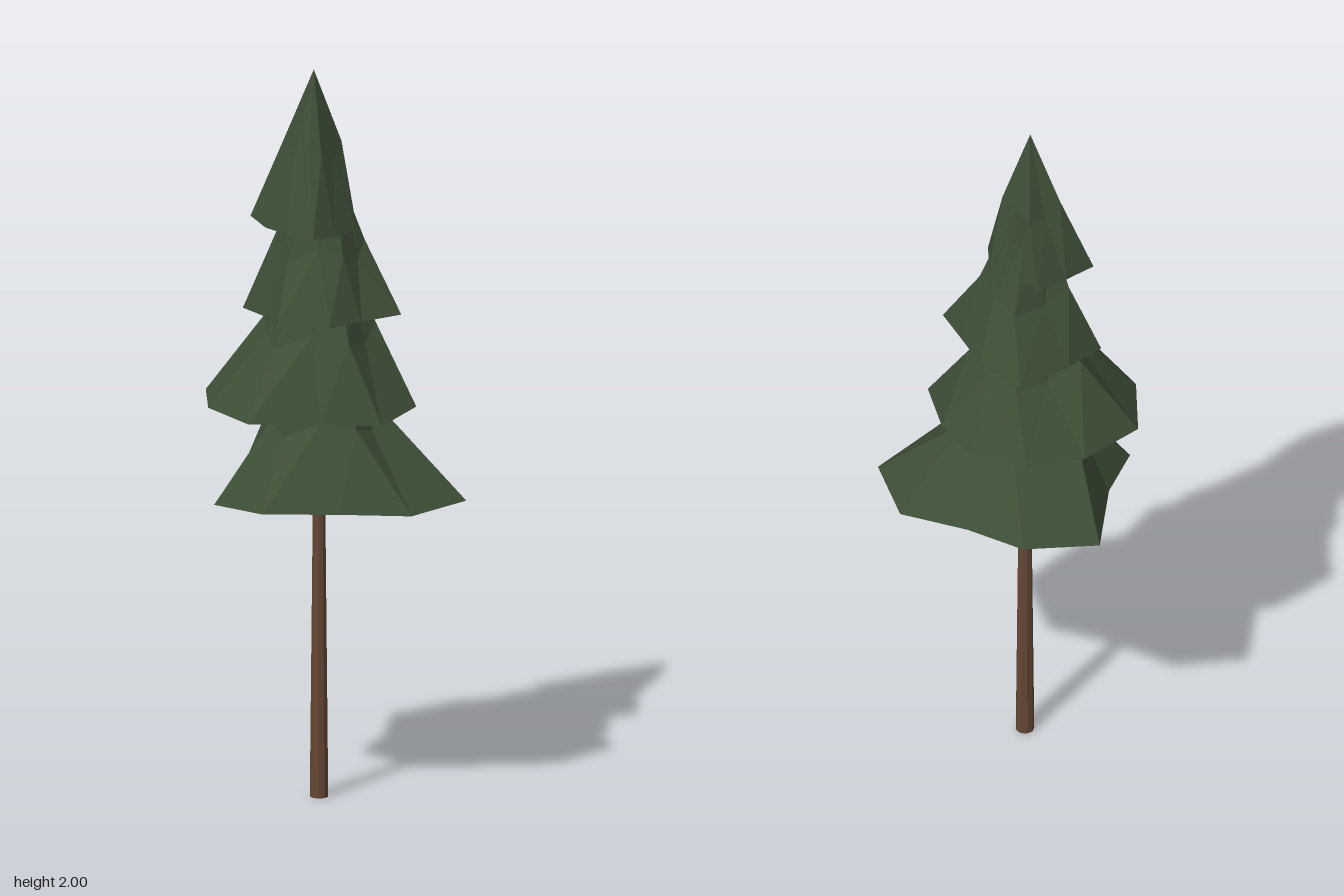
import * as THREE from 'three';

const needles = new THREE.MeshStandardMaterial({ color: 0x3d4e36, flatShading: true });
needles.name = 'needle green';
const bark = new THREE.MeshStandardMaterial({ color: 0x644735, flatShading: true });
bark.name = 'bark brown';

const AXIS_X = -0.043, AXIS_Z = 0.013;

// Each tier: ragged rim as [x, y, z] points, shoulder height and radius,
// top height and radius, and the height of the hollow underside
const tiers = [
  {
    name: 'bottomBranches', midY: 1.04, midR: 0.147, topY: 1.2, topR: 0.09, underY: 0.945,
    rim: [[-0.065, 0.855, -0.31], [0.09, 0.845, -0.225], [0.275, 0.835, -0.16], [0.352, 0.83, 0.045],
      [0.22, 0.83, 0.22], [0.03, 0.843, 0.268], [-0.17, 0.85, 0.308], [-0.312, 0.832, 0.15],
      [-0.27, 0.84, -0.02], [-0.265, 0.835, -0.25]],
  },
  {
    name: 'lowerBranches', midY: 1.28, midR: 0.148, topY: 1.43, topR: 0.085, underY: 1.18,
    rim: [[-0.07, 1.098, -0.262], [0.08, 1.08, -0.21], [0.17, 1.085, -0.09], [0.22, 1.09, 0.06],
      [0.14, 1.072, 0.205], [-0.02, 1.085, 0.25], [-0.21, 1.09, 0.282], [-0.33, 1.092, 0.125],
      [-0.352, 1.092, -0.068], [-0.22, 1.085, -0.2]],
  },
  {
    name: 'upperBranches', midY: 1.51, midR: 0.117, topY: 1.68, topR: 0.065, underY: 1.42,
    rim: [[-0.05, 1.325, -0.213], [0.065, 1.34, -0.135], [0.12, 1.34, -0.04], [0.18, 1.342, 0.06],
      [0.08, 1.34, 0.135], [0, 1.338, 0.205], [-0.14, 1.338, 0.208], [-0.18, 1.335, 0.085],
      [-0.25, 1.328, -0.03], [-0.17, 1.33, -0.12]],
  },
  {
    name: 'crownBranches', midY: 1.78, midR: 0.073, topY: 2, topR: 0, underY: 1.65,
    rim: [[-0.09, 1.585, -0.127], [-0.02, 1.58, -0.05], [0.05, 1.575, -0.03], [0.06, 1.572, 0.07],
      [0.01, 1.572, 0.14], [-0.045, 1.578, 0.195], [-0.12, 1.575, 0.13], [-0.18, 1.58, 0.085],
      [-0.228, 1.587, -0.01], [-0.16, 1.585, -0.07]],
  },
];

// Joins horizontal loops of equal length, from the top down
function loft(loops) {
  const pos = [];
  const tri = (a, b, c) => {
    if (a.equals(b) || b.equals(c) || c.equals(a)) return;
    for (const p of [a, b, c]) pos.push(p.x, p.y, p.z);
  };
  for (let k = 0; k < loops.length - 1; k++) {
    const up = loops[k], low = loops[k + 1], n = up.length;
    for (let i = 0; i < n; i++) {
      const j = (i + 1) % n;
      tri(up[i], up[j], low[j]);
      tri(up[i], low[j], low[i]);
    }
  }
  const g = new THREE.BufferGeometry();
  g.setAttribute('position', new THREE.Float32BufferAttribute(pos, 3));
  g.computeVertexNormals();
  return g;
}

function makeTier({ name, midY, midR, topY, topR, underY, rim }) {
  const cx = topR ? AXIS_X : -0.057, cz = topR ? AXIS_Z : 0.017;
  const polar = rim.map(([x, , z]) => [Math.atan2(z - cz, x - cx), Math.hypot(x - cx, z - cz)]);
  const mean = polar.reduce((s, p) => s + p[1], 0) / polar.length;
  const at = (a, r, h) => new THREE.Vector3(cx + Math.cos(a) * r, h, cz + Math.sin(a) * r);

  const top = polar.map(([a]) => at(a, topR, topY));
  // Shoulder ring follows the rim softly, with ridges and a slight twist
  const middle = polar.map(([a, r], i) =>
    at(a + 0.16, midR * (0.65 + 0.35 * r / mean) * (i % 2 ? 0.92 : 1.08), midY + (i % 3 - 1) * 0.02));
  const edge = rim.map((p) => new THREE.Vector3(...p));
  const under = polar.map(() => new THREE.Vector3(cx, underY, cz));

  const mesh = new THREE.Mesh(loft([top, middle, edge, under]), needles);
  mesh.name = name;
  return mesh;
}

export function createModel() {
  const tree = new THREE.Group();
  tree.name = 'pineTree';

  // Slim tapered trunk
  const trunk = new THREE.Mesh(new THREE.CylinderGeometry(0.015, 0.025, 1, 9), bark);
  trunk.position.set(AXIS_X, 0.5, AXIS_Z);
  trunk.name = 'trunk';
  tree.add(trunk);

  // Stacked branch tiers
  const foliage = new THREE.Group();
  foliage.name = 'foliage';
  for (const tier of tiers) foliage.add(makeTier(tier));
  tree.add(foliage);

  return tree;
}
